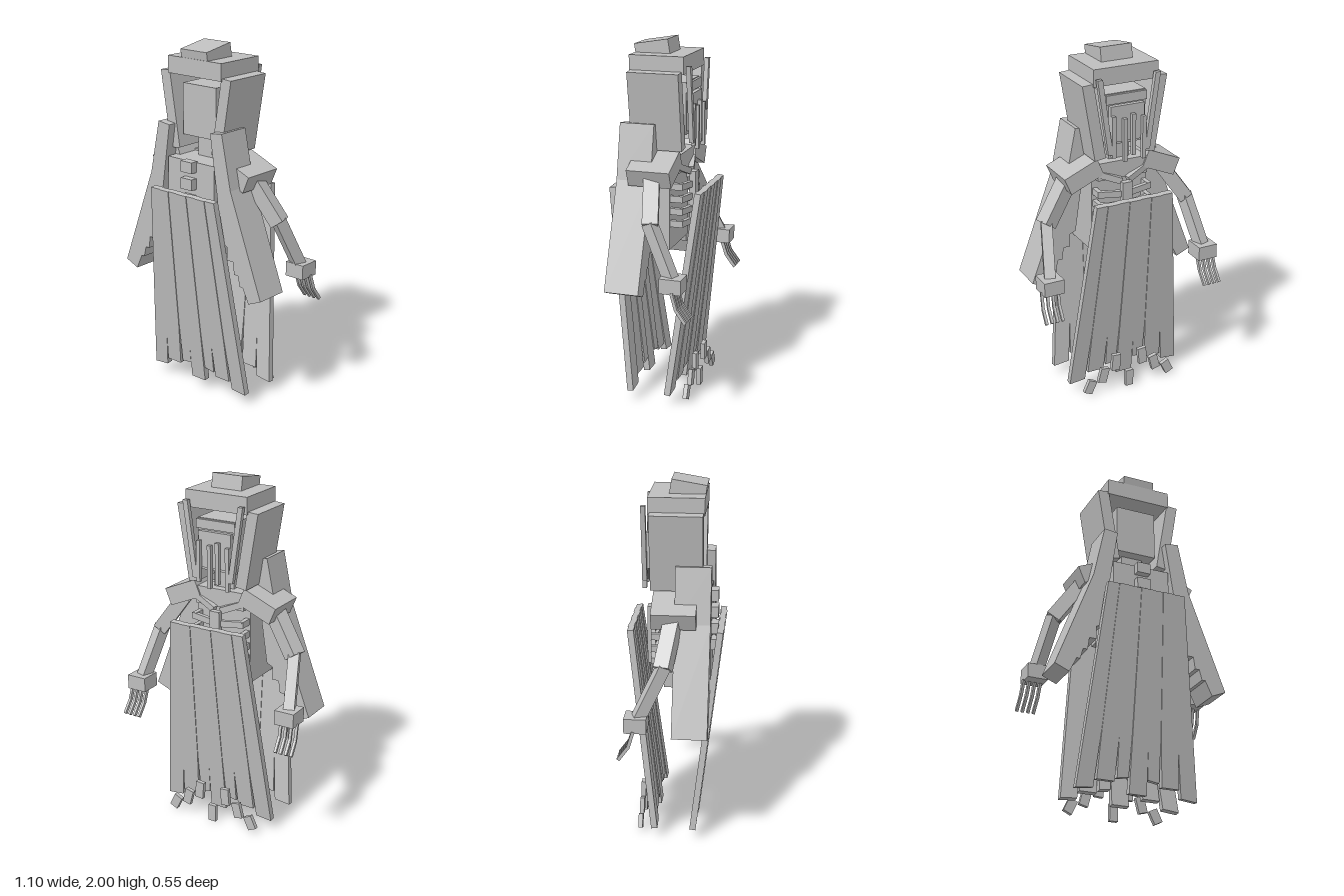
import * as THREE from 'three';

export function createModel() {
  const root = new THREE.Group();
  const grey = new THREE.MeshStandardMaterial({ color: 0xbebebe });
  grey.name = 'bone grey';

  const add = (name, geo, parent = root) => {
    const m = new THREE.Mesh(geo, grey);
    m.name = name;
    parent.add(m);
    return m;
  };
  // Box given by its low and high limits on each axis
  const box = (name, x0, x1, y0, y1, z0, z1, parent) => {
    const m = add(name, new THREE.BoxGeometry(x1 - x0, y1 - y0, z1 - z0), parent);
    m.position.set((x0 + x1) / 2, (y0 + y1) / 2, (z0 + z1) / 2);
    return m;
  };
  // Square bar between two points
  const bar = (name, a, b, w, h) => {
    const p = new THREE.Vector3(...a), q = new THREE.Vector3(...b);
    const m = add(name, new THREE.BoxGeometry(w, h, p.distanceTo(q)));
    m.position.copy(p).lerp(q, 0.5);
    m.lookAt(q);
    return m;
  };
  // Flat outline in x and y, given thickness along z
  const slab = (name, pts, z0, z1, parent) => {
    const shape = new THREE.Shape(pts.map(p => new THREE.Vector2(...p)));
    const m = add(name, new THREE.ExtrudeGeometry(shape, { depth: z1 - z0, bevelEnabled: false }), parent);
    m.position.z = z0;
    return m;
  };

  // Hood
  box('hoodBrim', -0.19, 0.19, 1.825, 1.92, -0.143, 0.16);
  const crown = box('hoodCrown', -0.093, 0.093, 1.87, 1.985, -0.035, 0.157);
  crown.rotation.x = 0.165;
  crown.position.y = 1.925;

  // Skull, brow and neck
  box('skull', -0.118, 0.118, 1.49, 1.775, -0.135, 0.12);
  box('face', -0.1, 0.1, 1.51, 1.71, -0.16, -0.13);
  box('brow', -0.12, 0.12, 1.72, 1.77, -0.15, -0.13);
  box('neck', -0.063, 0.063, 1.36, 1.5, -0.06, 0.06);
  [-0.09, -0.028, 0.022, 0.09].forEach((x, i) =>
    box('tooth', x - 0.011, x + 0.011, 1.4 + (i % 2) * 0.03, 1.64 + (i % 2) * 0.02, -0.182, -0.158));

  // Torso, spine, breastbone
  box('torso', -0.168, 0.168, 0.85, 1.37, -0.06, 0.19);
  box('upperChest', -0.15, 0.15, 1.28, 1.38, -0.106, 0.0);
  for (let i = 0; i < 4; i++) {
    const y = 1.345 - i * 0.095;
    box('vertebra', -0.04, 0.04, y - 0.031, y + 0.031, 0.18, 0.23);
  }
  box('breastbone', -0.03, 0.03, 0.94, 1.27, -0.165, -0.13);

  for (const s of [-1, 1]) {
    // Hood side and its front trim
    slab('hoodSide', [[s * 0.185, 1.84], [s * 0.25, 1.835], [s * 0.18, 1.41], [s * 0.115, 1.42]], -0.132, 0.153);
    slab('hoodTrim', [[s * 0.155, 1.87], [s * 0.185, 1.87], [s * 0.125, 1.45], [s * 0.095, 1.45]], -0.18, -0.155);

    // Collarbone and ribs
    bar('collarbone', [s * 0.02, 1.27, -0.125], [s * 0.17, 1.33, -0.09], 0.03, 0.035);
    for (let i = 0; i < 4; i++) {
      const y = 1.21 - i * 0.07;
      bar('ribFront', [s * 0.02, y - 0.012, -0.135], [s * 0.155, y, -0.12], 0.025, 0.035);
      box('ribSide', s * 0.15 - 0.013, s * 0.15 + 0.013, y - 0.018, y + 0.018, -0.132, -0.055);
    }

    // Shoulder
    const shoulder = add('shoulder', new THREE.BoxGeometry(0.21, 0.1, 0.24));
    shoulder.position.set(s * 0.235, 1.325, 0.005);
    shoulder.rotation.z = -s * 0.4;

    // Hanging sleeve with a torn inner edge
    slab('sleeve', [
      [0.148, 1.55], [0.228, 1.56], [0.29, 1.26], [0.503, 0.69], [0.42, 0.655], [0.38, 0.74], [0.36, 0.74],
      [0.345, 0.8], [0.32, 0.8], [0.31, 0.87], [0.27, 0.87], [0.27, 0.945], [0.235, 0.96], [0.2, 1.2],
    ].map(([x, y]) => [s * x, y]), 0.008, 0.2);

    // Arm and hand
    bar('upperArm', [s * 0.29, 1.27, 0.0], [s * 0.435, 1.06, -0.04], 0.085, 0.08);
    bar('forearm', [s * 0.43, 1.075, -0.035], [s * 0.48, 0.77, -0.18], 0.06, 0.065);
    box('hand', s * 0.48 - 0.058, s * 0.48 + 0.058, 0.73, 0.812, -0.24, -0.12);
    for (let i = 0; i < 4; i++) {
      const x = 0.445 + i * 0.032;
      bar('finger', [s * (x - 0.005), 0.74, -0.19], [s * x, 0.65, -0.218], 0.015, 0.018);
      bar('fingertip', [s * x, 0.655, -0.215], [s * (x + 0.003), 0.58, -0.27], 0.015, 0.018);
    }

    // Loose scraps of cloth near the ground
    [[0.25, 0.055, 0.08, 0.45], [0.165, 0.11, 0.09, 0.25], [0.085, 0.175, 0.1, 0.08]].forEach(([x, y, h, a]) => {
      const scrap = add('clothScrap', new THREE.BoxGeometry(0.052, h, 0.024));
      scrap.position.set(s * x, y, -0.187);
      scrap.rotation.z = s * a;
    });
  }
  box('clothScrap', -0.024, 0.024, 0.0, 0.1, -0.2, -0.176);

  // Skirt: front and back fans of planks, leaning inward at the foot
  // each plank: bottom left x, bottom right x, length
  const half = [[-0.05, 0.05, 1.145], [0.055, 0.12, 1.07], [0.135, 0.235, 1.09], [0.25, 0.345, 1.145]];
  for (const side of [0, Math.PI]) {
    const fan = new THREE.Group();
    fan.name = side ? 'skirtBack' : 'skirtFront';
    const tilt = new THREE.Group();
    tilt.position.set(0, 1.2, 0.235);
    tilt.rotation.x = 0.118;
    half.forEach(([x0, x1, len], i) => {
      const t0 = (i - 0.5) * 0.0657, t1 = (i + 0.5) * 0.0657;
      // planks touch down to the tear, then separate
      const cut = 0.82, k = cut / 1.14;
      const b = [-0.05, 0.052, 0.128, 0.242, 0.345];
      const l = t0 + (b[i] - t0) * k, r = t1 + (b[i + 1] - t1) * k;
      for (const s of i ? [-1, 1] : [1]) {
        const pts = [[t0, 0], [t1, 0], [r, -cut], [x1, -len], [x0, -len + 0.01 * (i % 2)], [l, -cut]];
        const dz = (i % 2) * 0.004;
        slab('skirtPlank', pts.map(([x, y]) => [s * x, y]), -dz, 0.035 - dz, tilt);
      }
    });
    fan.add(tilt);
    fan.rotation.y = side;
    fan.position.z = side ? 0.012 : 0;
    root.add(fan);
  }
  return root;
}
